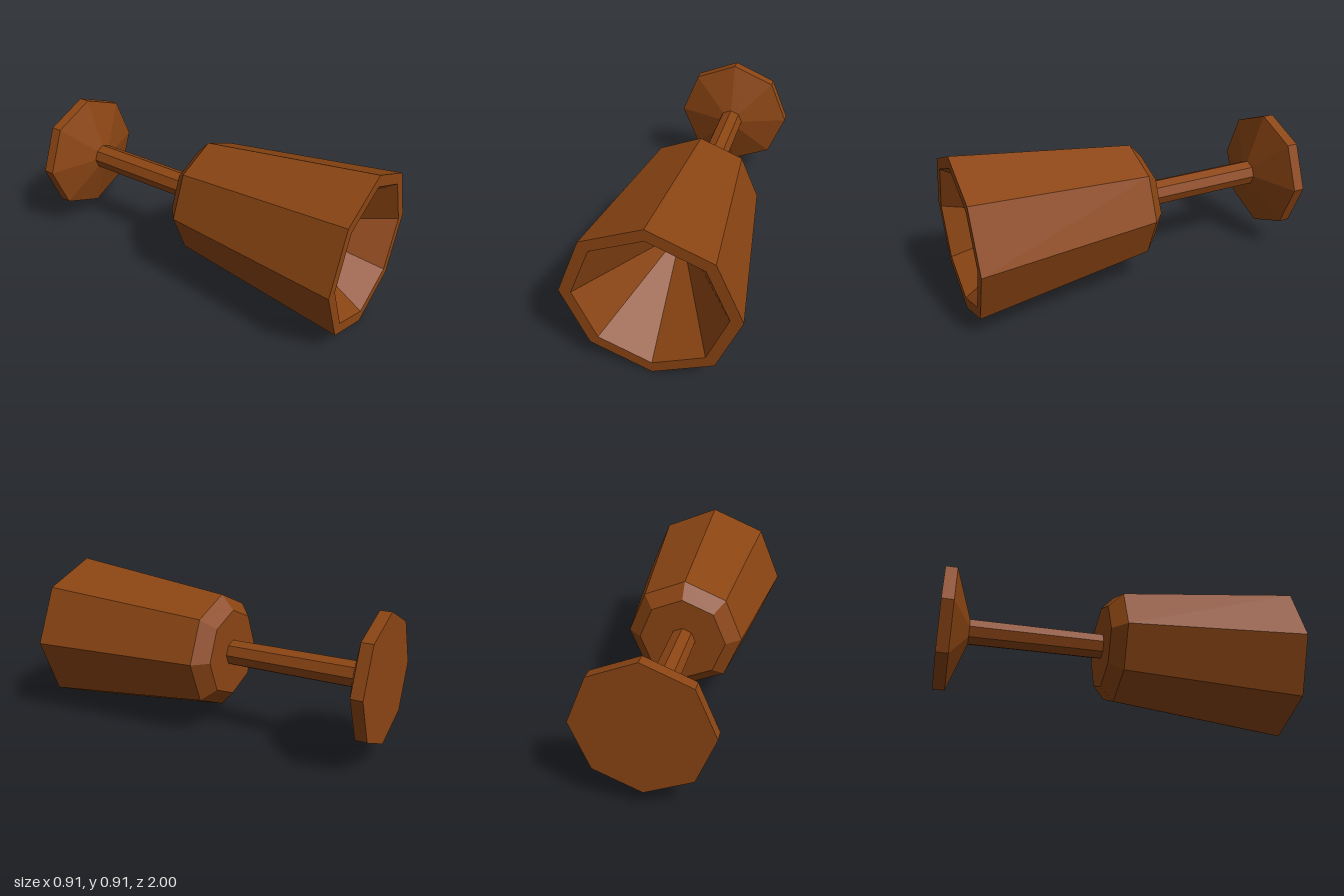
import * as THREE from 'three';

const SIDES = 8;
const AXIS_HEIGHT = 0.455;

export function createModel() {
  const goblet = new THREE.Group();
  goblet.name = 'goblet';

  const wood = new THREE.MeshStandardMaterial({ color: 0x8b4513, flatShading: true });
  wood.name = 'brown wood';

  // Faceted part turned around the z axis from [radius, z] points
  function turned(name, profile) {
    const points = profile.map(([r, z]) => new THREE.Vector2(r, z));
    const geometry = new THREE.LatheGeometry(points, SIDES);
    geometry.rotateX(Math.PI / 2);
    const mesh = new THREE.Mesh(geometry, wood);
    mesh.name = name;
    mesh.position.y = AXIS_HEIGHT;
    goblet.add(mesh);
  }

  // Flat back disc, chamfer, flaring wall, flat lip, conical hollow
  turned('bowl', [[0, -0.085], [0.25, -0.085], [0.333, -0.01], [0.455, 1], [0.39, 1], [0, 0.42]]);

  // Thin stem between foot and bowl
  turned('stem', [[0.075, -0.84], [0.075, -0.085]]);

  // Foot with a short rim and a sloping shoulder
  turned('foot', [[0, -1], [0.358, -1], [0.358, -0.935], [0.075, -0.84]]);

  return goblet;
}
